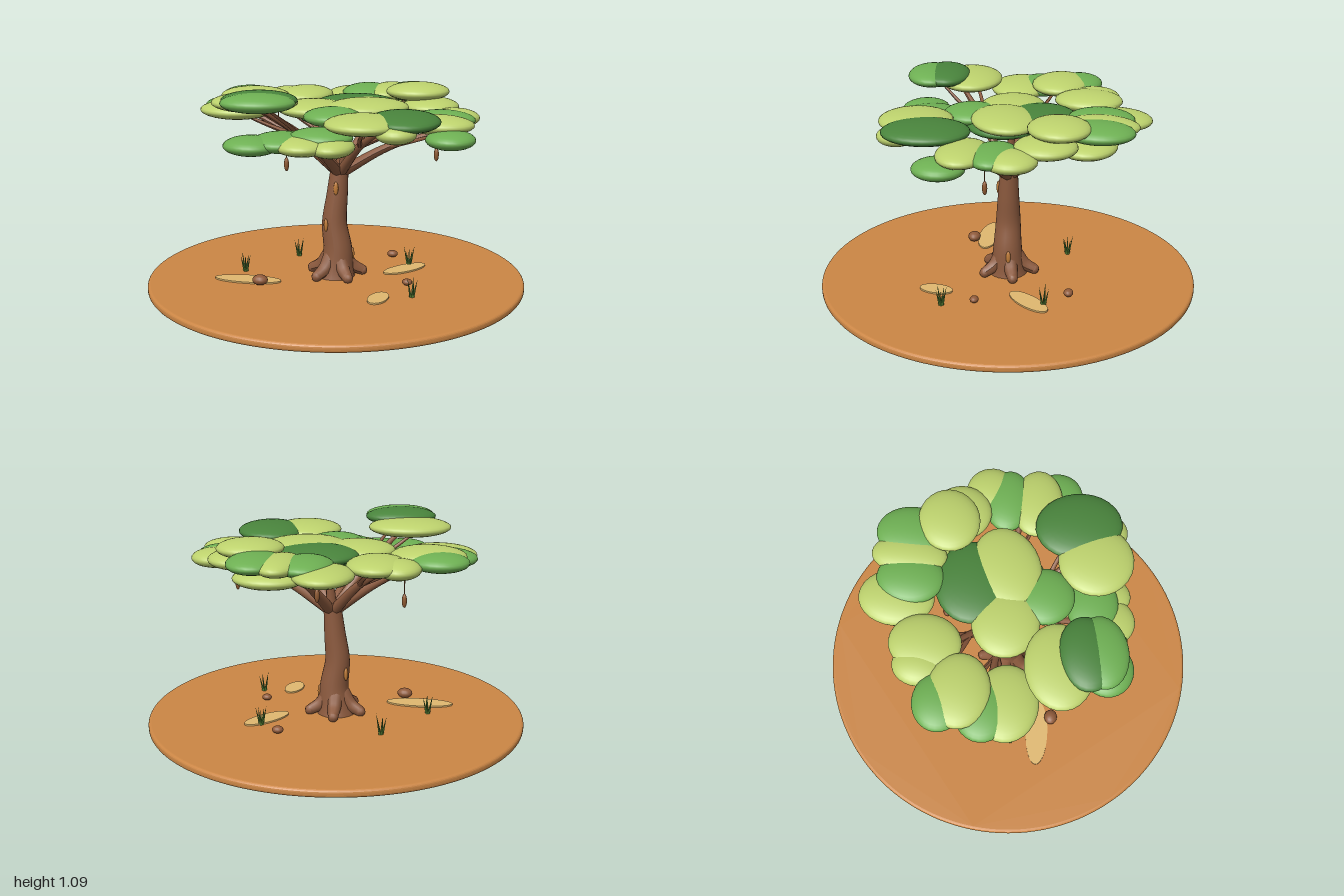
import * as THREE from 'three';

const mat = (name, color, side = THREE.FrontSide) => {
  const m = new THREE.MeshStandardMaterial({ color, side });
  m.name = name;
  return m;
};
const V = (x, y, z) => new THREE.Vector3(x, y, z);

// Tube along a smooth path whose radius follows radiusAt(u)
function taperedTube(points, radiusAt, segments = 16, sides = 10) {
  const curve = new THREE.CatmullRomCurve3(points);
  const geo = new THREE.TubeGeometry(curve, segments, 1, sides);
  const pos = geo.attributes.position;
  const v = new THREE.Vector3();
  for (let i = 0; i < pos.count; i++) {
    const u = Math.floor(i / (sides + 1)) / segments;
    const c = curve.getPointAt(u);
    v.fromBufferAttribute(pos, i).sub(c).multiplyScalar(radiusAt(u)).add(c);
    pos.setXYZ(i, v.x, v.y, v.z);
  }
  geo.computeVertexNormals();
  return geo;
}

export function createModel() {
  const root = new THREE.Group();
  root.name = 'savannaTree';
  const earth = mat('earth', 0xcb8645);
  const sand = mat('sand', 0xe0b870);
  const bark = mat('bark', 0x8c5a3e);
  const barkPatch = mat('barkPatch', 0xc07c38);
  const stone = mat('stone', 0x8f5a3a);
  const podBrown = mat('podBrown', 0x8f5a32);
  const grassGreen = mat('grassGreen', 0x5c8a3a, THREE.DoubleSide);
  const lightLeaf = mat('lightLeaf', 0xbdd26d);
  const midLeaf = mat('midLeaf', 0x6eb053);
  const darkLeaf = mat('darkLeaf', 0x49843c);

  const add = (name, geo, material, parent = root) => {
    const m = new THREE.Mesh(geo, material);
    m.name = name;
    parent.add(m);
    return m;
  };
  const group = (name) => {
    const g = new THREE.Group();
    g.name = name;
    root.add(g);
    return g;
  };

  // Ground disc with a rounded rim
  const disc = new THREE.Shape().absarc(0, 0, 0.985, 0, Math.PI * 2);
  const ground = new THREE.ExtrudeGeometry(disc, {
    depth: 0.01, bevelThickness: 0.015, bevelSize: 0.015, bevelSegments: 4, curveSegments: 64,
  });
  ground.rotateX(-Math.PI / 2).translate(0, 0.015, 0);
  add('ground', ground, earth);

  // Sandy patches: x, z, half length, half width, turn
  const patches = group('sandPatches');
  [[-0.43, 0.2, 0.18, 0.06, 0.05], [0.34, -0.18, 0.14, 0.055, 0.88], [0.3, 0.32, 0.09, 0.05, 1.46]]
    .forEach(([x, z, a, b, turn]) => {
      const p = add('sandPatch', new THREE.CylinderGeometry(1, 1, 0.009, 28), sand, patches);
      p.position.set(x, 0.0435, z);
      p.scale.set(a, 1, b);
      p.rotation.y = turn;
    });

  // Stones
  const stones = group('stones');
  [[-0.34, 0.27, 0.042], [0.235, -0.37, 0.03], [0.405, 0.09, 0.027]].forEach(([x, z, r]) => {
    const s = add('stone', new THREE.SphereGeometry(r, 14, 10), stone, stones);
    s.position.set(x, 0.046 + r * 0.6, z);
    s.scale.set(1, 0.65, 0.85);
  });

  // Grass tufts
  const tufts = group('grassTufts');
  [[-0.49, 0.06], [0.46, 0.25], [0.35, -0.26], [-0.285, -0.28]].forEach(([x, z], t) => {
    for (let i = 0; i < 5; i++) {
      const a = i * 1.257 + t;
      const h = 0.095 + 0.015 * (i % 2);
      const blade = add('grassBlade', new THREE.ConeGeometry(0.007, h, 5).translate(0, h / 2, 0), grassGreen, tufts);
      blade.position.set(x + Math.cos(a) * 0.007, 0.04, z + Math.sin(a) * 0.007);
      blade.rotation.set(Math.sin(a) * 0.22, 0, -Math.cos(a) * 0.22);
    }
  });

  // Gently swaying trunk
  const trunkPath = [V(0, 0.03, 0), V(0.01, 0.18, 0), V(-0.008, 0.33, 0), V(0.005, 0.48, -0.004), V(0.02, 0.66, -0.01)];
  add('trunk', taperedTube(trunkPath, (u) => 0.086 - 0.041 * u + 0.02 * Math.pow(1 - u, 9), 28, 20), bark);

  // Root flares
  const roots = group('roots');
  for (let i = 0; i < 5; i++) {
    const a = i * Math.PI * 2 / 5 + 0.87;
    const at = (r, y) => V(Math.cos(a) * r, y, Math.sin(a) * r);
    add('root', taperedTube([at(0.035, 0.15), at(0.085, 0.092), at(0.142, 0.062)], (u) => 0.046 - 0.018 * u, 10), bark, roots);
    add('rootTip', new THREE.SphereGeometry(0.028, 10, 8), bark, roots).position.copy(at(0.142, 0.062));
  }

  // Peeling bark patches: x, y, z
  const peels = group('barkPatches');
  [[-0.04, 0.33, 0.06], [0.012, 0.53, 0.049], [0.086, 0.16, -0.02], [-0.062, 0.27, -0.045]]
    .forEach(([x, y, z]) => {
      const p = add('barkPatch', new THREE.SphereGeometry(1, 12, 10), barkPatch, peels);
      p.position.set(x, y, z);
      p.scale.set(0.013, 0.036, 0.01);
      p.rotation.y = Math.atan2(x, z);
    });

  // Forked branches, one to each leaf cluster
  const branches = group('branches');
  const crown = V(0.018, 0.6, -0.008);
  [[0.2, 0.94, -0.48], [0.57, 0.86, 0.02], [0.33, 0.92, 0.38], [-0.31, 0.99, 0.33],
    [-0.05, 0.83, 0.46], [-0.53, 0.92, -0.06], [-0.33, 0.93, -0.35], [0.05, 0.93, -0.04]]
    .forEach(([x, y, z], i) => {
      const end = V(x, y, z);
      const mid = crown.clone().lerp(end, 0.48);
      mid.y += 0.035;
      add('branch', taperedTube([crown, mid, end], (u) => 0.031 - 0.02 * u, 14, 8), bark, branches);
      if (i === 7) return;
      const side = V(-z, 0, x).normalize().multiplyScalar(0.1);
      for (const s of [-1, 1]) {
        const tip = end.clone().addScaledVector(side, s);
        const bend = mid.clone().lerp(tip, 0.5).addScaledVector(side, s * 0.12);
        add('twig', taperedTube([mid, bend, tip], (u) => 0.014 - 0.007 * u, 10, 7), bark, branches);
      }
    });

  // Flat leaf pads: x, y, z, half width, half depth, turn
  const leaves = group('canopy');
  const pads = (material, list) => list.forEach(([x, y, z, rx, rz, turn = 0]) => {
    const p = add('leafPad', new THREE.SphereGeometry(1, 28, 16), material, leaves);
    p.position.set(x, y, z);
    p.scale.set(rx, 0.048, rz);
    p.rotation.y = turn;
  });
  pads(lightLeaf, [
    [0.16, 0.955, -0.02, 0.22, 0.17, 0.4], [-0.12, 0.94, 0, 0.19, 0.17],
    [-0.04, 0.93, -0.55, 0.15, 0.19], [0.18, 0.964, -0.51, 0.11, 0.19],
    [0.37, 1.0, -0.33, 0.17, 0.155, 0.3], [0.45, 0.93, -0.28, 0.15, 0.155], [0.25, 0.88, -0.45, 0.18, 0.15],
    [0.6, 0.9, -0.14, 0.13, 0.13], [0.55, 0.905, 0.1, 0.185, 0.13],
    [0.24, 0.95, 0.42, 0.19, 0.19, -0.3], [0.41, 0.92, 0.47, 0.1, 0.1],
    [-0.35, 1.01, 0.28, 0.22, 0.17, 0.2],
    [-0.04, 0.845, 0.48, 0.14, 0.16], [0.1, 0.84, 0.47, 0.11, 0.14],
    [-0.5, 0.965, -0.19, 0.19, 0.155], [-0.53, 0.925, 0.04, 0.195, 0.16],
    [-0.27, 0.95, -0.38, 0.15, 0.18], [-0.38, 0.94, -0.4, 0.11, 0.13],
  ]);
  pads(midLeaf, [
    [0.03, 0.935, 0.18, 0.15, 0.15], [0.06, 0.96, -0.49, 0.14, 0.17], [0.3, 0.97, -0.51, 0.14, 0.18],
    [0.55, 0.905, -0.05, 0.17, 0.12], [0.63, 0.85, 0.2, 0.125, 0.13],
    [-0.16, 0.85, 0.45, 0.15, 0.16], [0.03, 0.875, 0.42, 0.16, 0.13], [-0.29, 0.84, 0.52, 0.14, 0.13],
    [-0.56, 0.955, -0.28, 0.15, 0.13], [-0.57, 0.93, -0.07, 0.165, 0.14],
    [-0.27, 1.04, 0.475, 0.185, 0.13, 0.2],
  ]);
  pads(darkLeaf, [
    [0.07, 0.945, -0.18, 0.22, 0.19], [0.42, 0.955, 0.32, 0.18, 0.22, 0.2],
    [-0.285, 1.043, 0.405, 0.19, 0.135, 0.2], [0.05, 0.905, 0, 0.24, 0.2],
  ]);

  // Hanging seed pods on thin stalks
  const pods = group('seedPods');
  [[-0.39, 0.745, -0.25], [-0.18, 0.705, 0.3], [0.53, 0.73, 0], [0, 0.82, -0.5]].forEach(([x, y, z]) => {
    const pod = add('seedPod', new THREE.SphereGeometry(1, 12, 10), podBrown, pods);
    pod.position.set(x, y, z);
    pod.scale.set(0.013, 0.036, 0.013);
    add('podStalk', new THREE.CylinderGeometry(0.003, 0.003, 0.1, 6), podBrown, pods).position.set(x, y + 0.08, z);
  });

  return root;
}
